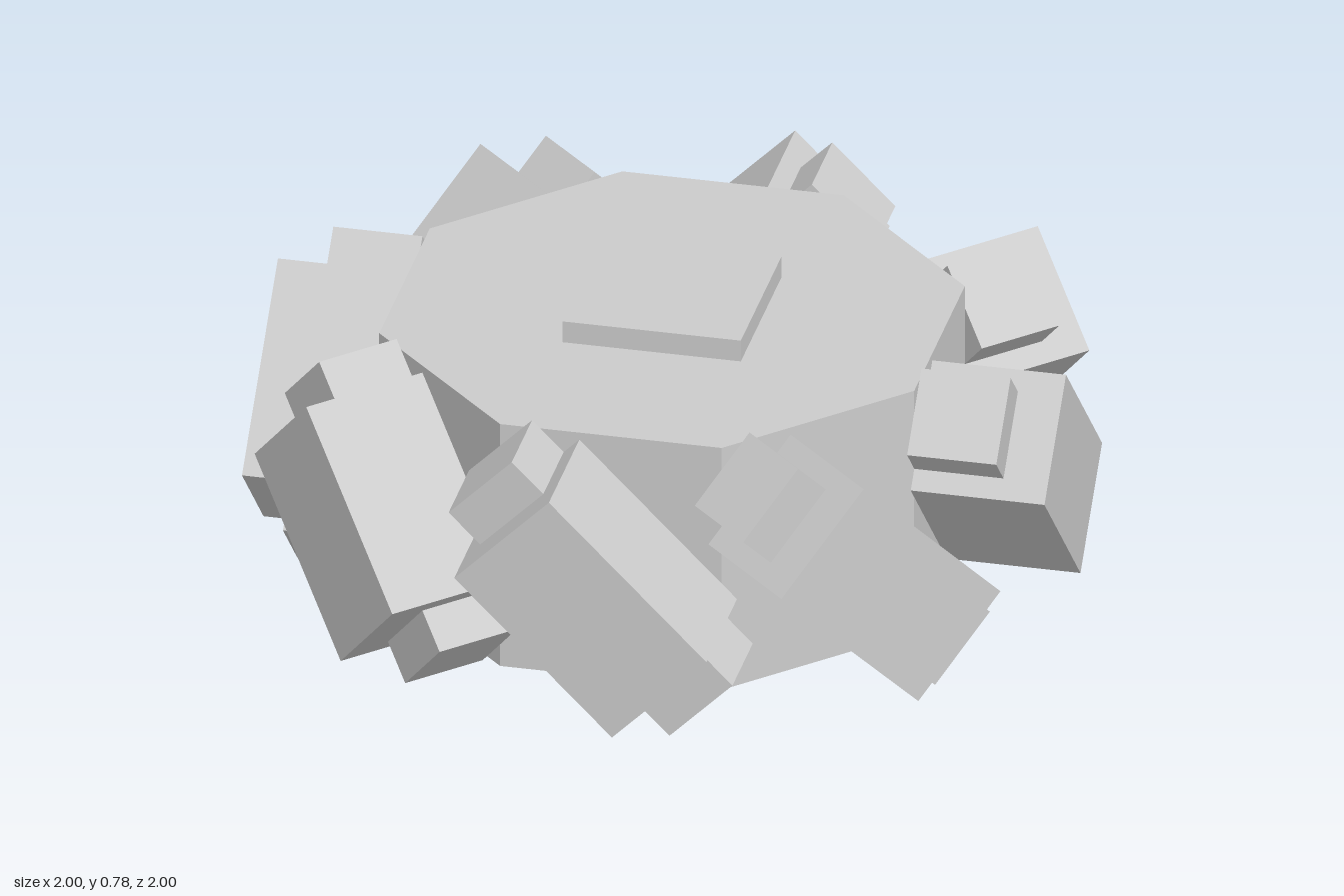
import * as THREE from 'three';

export function createModel() {
  const model = new THREE.Group();
  model.name = 'gearWheel';
  const material = new THREE.MeshStandardMaterial({ color: 0xcccccc, flatShading: true });
  const U = 1 / 9; // modelling unit
  const midY = 3.515 * U;
  const apothem = 6 * U;

  const add = (parent, name, geometry, x, y, z) => {
    const mesh = new THREE.Mesh(geometry, material);
    mesh.name = name;
    mesh.position.set(x, y, z);
    parent.add(mesh);
    return mesh;
  };

  // Octagonal hub with flat sides facing the axes
  const radius = apothem / Math.cos(Math.PI / 8);
  const hub = new THREE.CylinderGeometry(radius, radius, 6 * U, 8, 1, false, Math.PI / 8);
  add(model, 'hub', hub, 0, midY, 0);

  // Square axle showing as a boss above and below the hub
  add(model, 'axle', new THREE.BoxGeometry(4 * U, 2 * midY, 4 * U), 0, midY, 0);

  // Eight slanted teeth, each with a narrower bar protruding from both ends
  const toothShape = new THREE.BoxGeometry(5 * U, 3 * U, 3 * U);
  const barShape = new THREE.BoxGeometry(7 * U, 2 * U, 2 * U);
  for (let i = 0; i < 8; i++) {
    const tooth = new THREE.Group();
    tooth.name = `tooth${i + 1}`;
    tooth.position.y = midY;
    tooth.rotation.y = (i * Math.PI) / 4;
    add(tooth, 'toothBlock', toothShape, 0, 0, apothem + 1.5 * U).rotation.z = -Math.PI / 4;
    add(tooth, 'toothBar', barShape, 0, 0, apothem + U).rotation.z = -Math.PI / 4;
    model.add(tooth);
  }
  return model;
}
